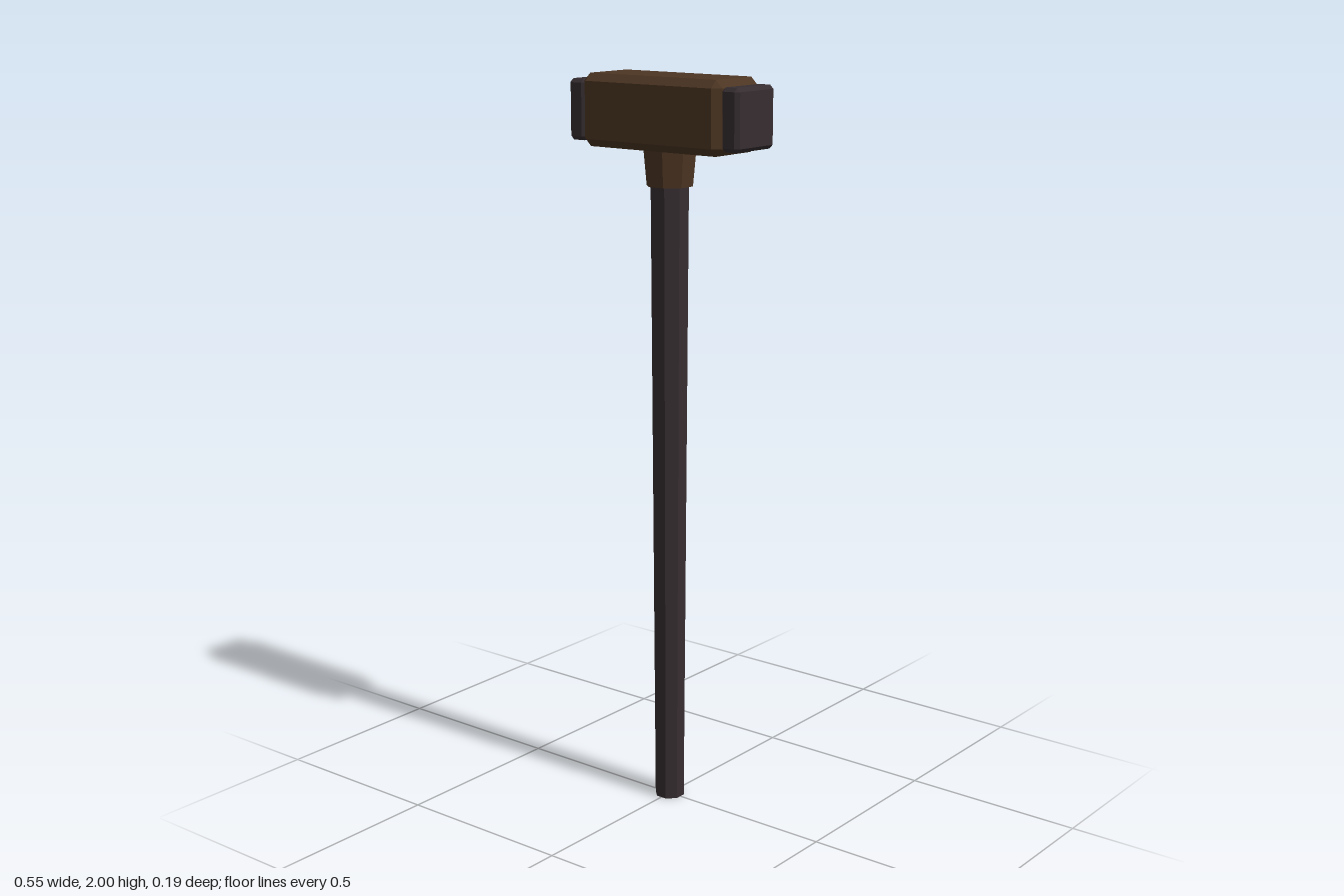
import * as THREE from 'three';
import { ConvexGeometry } from 'three/addons/geometries/ConvexGeometry.js';

// Box with all edges bevelled: three sets of corners, one per axis
function bevelledBox(w, h, d, b) {
  const half = [w / 2, h / 2, d / 2];
  const points = [];
  for (const sx of [-1, 1]) for (const sy of [-1, 1]) for (const sz of [-1, 1]) {
    for (let axis = 0; axis < 3; axis++) {
      const p = half.map((v, i) => (i === axis ? v : v - b));
      points.push(new THREE.Vector3(sx * p[0], sy * p[1], sz * p[2]));
    }
  }
  return new ConvexGeometry(points);
}

// Tapered octagonal post with flat sides towards the axes; sizes are across-flat half widths
function octagonPost(top, bottom, y0, y1) {
  const k = 1 / Math.cos(Math.PI / 8);
  return new THREE.CylinderGeometry(top * k, bottom * k, y1 - y0, 8)
    .rotateY(Math.PI / 8)
    .translate(0, (y0 + y1) / 2, 0);
}

export function createModel() {
  const wood = new THREE.MeshStandardMaterial({ color: 0x4c3522, flatShading: true });
  wood.name = 'brown wood';
  const dark = new THREE.MeshStandardMaterial({ color: 0x362d30, flatShading: true });
  dark.name = 'dark grey';

  const model = new THREE.Group();
  model.name = 'hammer';
  const add = (name, geometry, material, x = 0, y = 0) => {
    const mesh = new THREE.Mesh(geometry, material);
    mesh.name = name;
    mesh.position.set(x, y, 0);
    model.add(mesh);
  };

  // Shaft and the socket under the head
  add('handle', octagonPost(0.048, 0.038, 0, 1.72), dark);
  add('collar', octagonPost(0.067, 0.058, 1.715, 1.82), wood);

  // Head with a striking face at each end
  add('head', bevelledBox(0.45, 0.19, 0.188, 0.02), wood, 0, 1.905);
  for (const side of [-1, 1]) {
    add(side > 0 ? 'leftStrikingFace' : 'rightStrikingFace',
      bevelledBox(0.055, 0.16, 0.16, 0.01), dark, side * 0.2495, 1.903);
  }
  return model;
}
